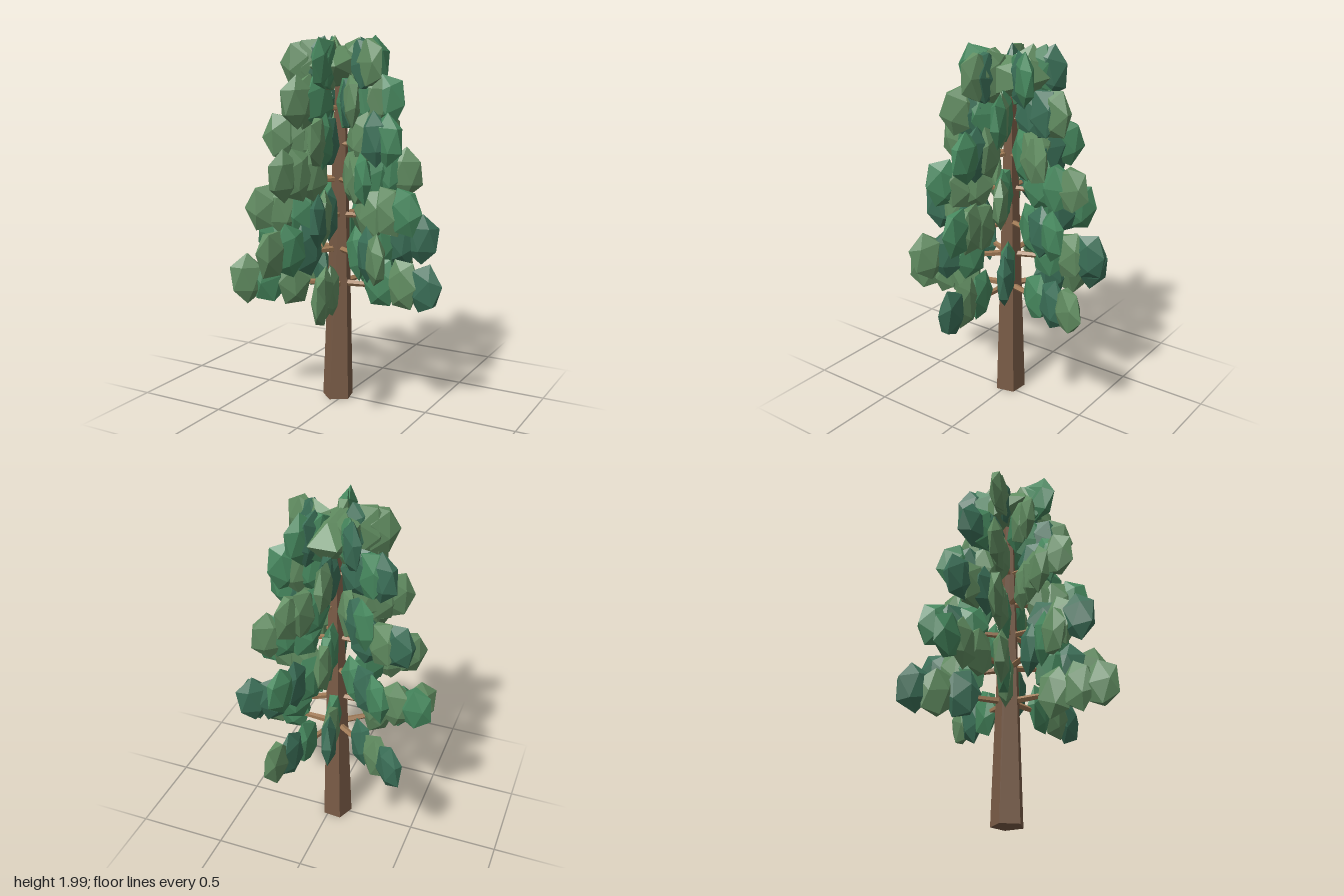
import * as THREE from 'three';

const mat = (color) => new THREE.MeshStandardMaterial({ color, flatShading: true });

// Small seeded generator for natural variation
function seeded(seed) {
  return () => {
    seed = (seed * 16807) % 2147483647;
    return seed / 2147483647;
  };
}

// Low-poly faceted clump: an icosahedron rolled, then squashed to the given radii
function clumpGeometry(roll, rx, ry, rz) {
  const g = new THREE.IcosahedronGeometry(1, 0);
  g.rotateZ(roll);
  g.scale(rx, ry, rz);
  return g;
}

export function createModel() {
  const tree = new THREE.Group();
  tree.name = 'tree';
  const rand = seeded(41);
  const jitter = (a) => (rand() * 2 - 1) * a;

  const bark = mat(0x7a5c46);
  const branchWood = mat(0xa07a56);
  const greens = [0x3b7058, 0x47895f, 0x628e62].map(mat);

  // Five-sided tapering trunk with a slight lean
  const height = 1.78;
  const trunkGeo = new THREE.CylinderGeometry(0.03, 0.088, height, 5);
  trunkGeo.rotateY(-0.08);
  trunkGeo.translate(0, height / 2, 0);
  const p = trunkGeo.attributes.position;
  for (let i = 0; i < p.count; i++) {
    const t = p.getY(i) / height;
    p.setX(i, p.getX(i) - 0.035 + 0.015 * t);
    p.setZ(i, p.getZ(i) - 0.01 * t);
  }
  trunkGeo.computeVertexNormals();
  const trunk = new THREE.Mesh(trunkGeo, bark);
  trunk.name = 'trunk';
  tree.add(trunk);

  // Seven whorls of five branches, each shorter and turned from the one below
  const whorls = 7, perWhorl = 5, step = THREE.MathUtils.degToRad(33.7);
  for (let w = 0; w < whorls; w++) {
    const length = 0.505 - 0.049 * w;
    const whorl = new THREE.Group();
    whorl.name = `whorl${w + 1}`;
    whorl.position.set(-0.025, 0.66 + 0.19 * w, 0);

    for (let b = 0; b < perWhorl; b++) {
      const arm = new THREE.Group();
      arm.name = 'branchWithFoliage';
      arm.rotation.y = w * step + (b * Math.PI * 2) / perWhorl;

      // Tapered bough pointing out along local +x, rising slightly
      const boughGeo = new THREE.CylinderGeometry(0.006, 0.02 - 0.0012 * w, length, 5);
      boughGeo.translate(0, length / 2, 0);
      boughGeo.rotateZ(-Math.PI / 2 + 0.04);
      const bough = new THREE.Mesh(boughGeo, branchWood);
      bough.name = 'branch';
      arm.add(bough);

      // Three flat upright clumps along the outer half
      [0.5, 0.76, 1].forEach((t) => {
        const clump = new THREE.Mesh(
          clumpGeometry(rand() * Math.PI, 0.105, t === 1 ? 0.142 : 0.15, 0.043),
          greens[Math.floor(rand() * 3)]
        );
        clump.name = 'foliage';
        clump.position.set(length * t, 0.012 + 0.02 * t + 0.003 * w + jitter(0.008), jitter(0.006));
        clump.rotation.y = t === 1 ? jitter(0.06) : jitter(0.16);
        arm.add(clump);
      });
      whorl.add(arm);
    }
    tree.add(whorl);
  }

  // Crown clump capping the trunk
  const crownGeo = new THREE.IcosahedronGeometry(1, 0);
  crownGeo.rotateY(Math.PI / 2);
  crownGeo.scale(0.145, 0.125, 0.225);
  const crown = new THREE.Mesh(crownGeo, greens[2]);
  crown.name = 'crown';
  crown.position.set(-0.025, 1.83, -0.01);
  tree.add(crown);

  return tree;
}
